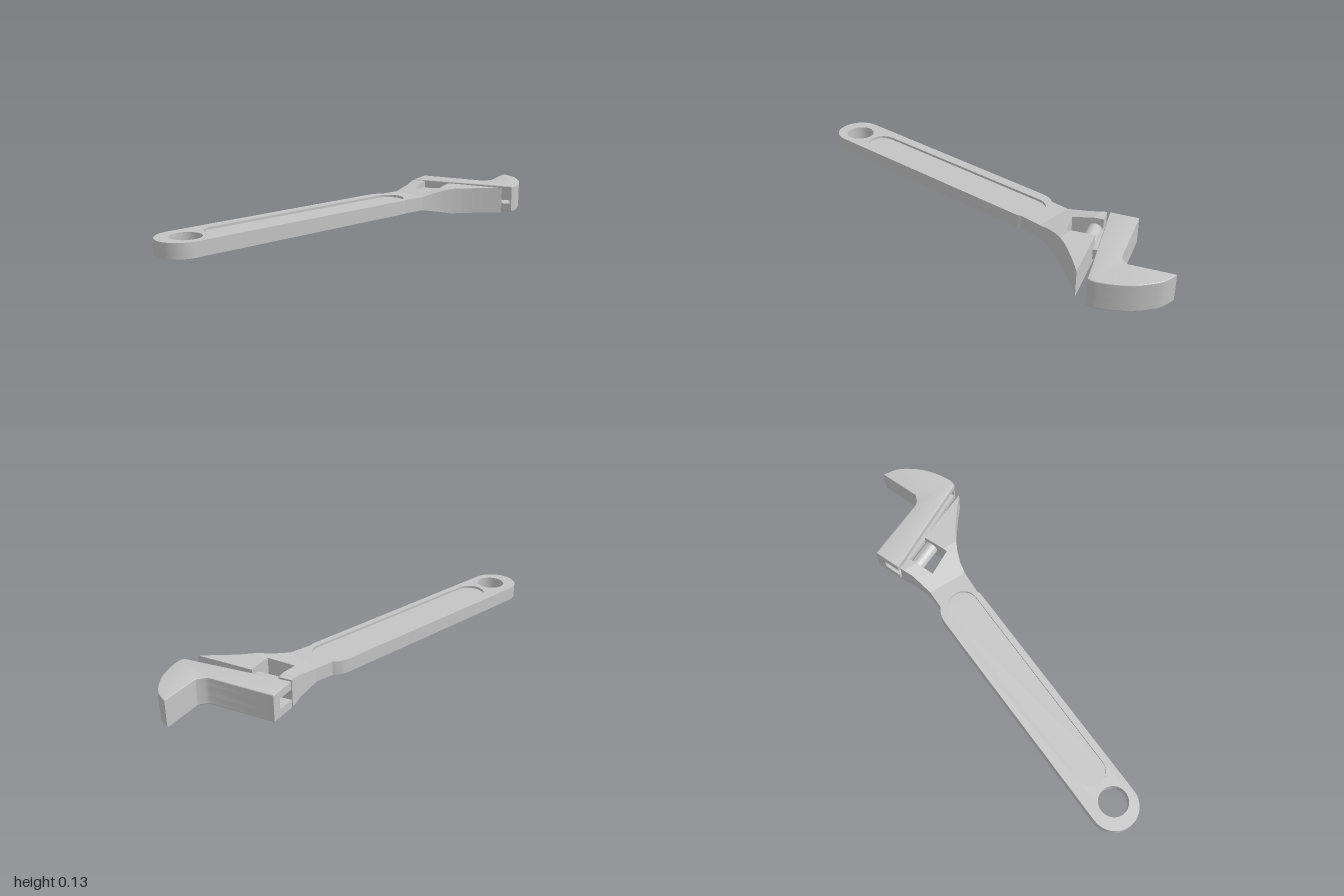
import * as THREE from 'three';
import { toCreasedNormals } from 'three/addons/utils/BufferGeometryUtils.js';

const MID = 0.063;            // height of the middle plane
const HANDLE = 0.032;         // half thickness of the handle
const HEAD = 0.0605;          // half thickness of the head
const JAW = 0.063;            // half thickness of the movable jaw

// Plan points are [x, z]; shapes are drawn in (x, -z) and laid flat.
const v = ([x, z]) => new THREE.Vector2(x, -z);
const plan = (pts) => new THREE.Shape(pts.map(v));
const arc = (cx, cz, r, a0, a1, n = 20) =>
  Array.from({ length: n + 1 }, (_, i) => {
    const a = a0 + ((a1 - a0) * i) / n;
    return [cx + r * Math.cos(a), cz + r * Math.sin(a)];
  });
const curve = (pts, n) =>
  new THREE.SplineCurve(pts.map((p) => new THREE.Vector2(...p))).getPoints(n).map((p) => [p.x, p.y]);

function slab(shape, y0, y1) {
  const g = new THREE.ExtrudeGeometry(shape, { depth: y1 - y0, bevelEnabled: false });
  return g.rotateX(-Math.PI / 2).translate(0, y0, 0);
}

// Thin plate with rounded rims, centred on height y
function roundedPlate(shape, y, r) {
  const g = new THREE.ExtrudeGeometry(shape, {
    depth: 0, bevelThickness: r, bevelSize: r, bevelOffset: -r, bevelSegments: 3,
  });
  return g.rotateX(-Math.PI / 2).translate(0, y, 0);
}

export function createModel() {
  const root = new THREE.Group();
  root.name = 'adjustableWrench';
  const steel = new THREE.MeshStandardMaterial({ color: 0xc4c4c4 });
  steel.name = 'steel';
  const add = (name, geometry, parent = root) => {
    const mesh = new THREE.Mesh(toCreasedNormals(geometry, 0.5), steel);
    mesh.name = name;
    parent.add(mesh);
    return mesh;
  };

  // Handle: solid core with a pierced plate on each side forming the recess
  const outline = [
    ...arc(0.036, 0.893, 0.107, -0.07, Math.PI - 0.07, 28),
    ...curve([[-0.148, -0.19], [-0.147, -0.225], [-0.138, -0.252], [-0.127, -0.272]], 8),
    [-0.13, -0.36], [0.056, -0.36],
    ...curve([[0.056, -0.25], [0.063, -0.235], [0.066, -0.2]], 6),
  ];
  const ring = arc(0.043, 0.878, 0.066, 0, Math.PI * 2, 40).slice(0, -1);
  const recess = [
    ...arc(0.032, 0.717, 0.068, -0.07, Math.PI - 0.07),
    ...arc(-0.033, -0.224, 0.07, Math.PI - 0.07, Math.PI * 2 - 0.07),
  ];
  // Holes run the opposite way round to the outline
  const handlePlan = (...holes) => {
    const s = plan(outline);
    s.holes = holes.map((h) => new THREE.Path(h.map(v).reverse()));
    return s;
  };
  const handle = new THREE.Group();
  handle.name = 'handle';
  root.add(handle);
  const floor = HANDLE - 0.011;
  add('handleCore', slab(handlePlan(ring), MID - floor, MID + floor), handle);
  add('handleTopRim', slab(handlePlan(ring, recess), MID + floor, MID + HANDLE), handle);
  add('handleBottomRim', slab(handlePlan(ring, recess), MID - HANDLE, MID - floor), handle);

  // Neck: thickens evenly from the handle to the head around the screw slot
  const neck = slab(plan([
    [0.056, -0.36], [0.064, -0.415], [0.08, -0.465], [0.1, -0.51], [0.028, -0.51], [0.037, -0.49],
    [-0.075, -0.43], [-0.114, -0.51], [-0.184, -0.51], [-0.16, -0.463], [-0.145, -0.41], [-0.13, -0.36],
  ]), -1, 1);
  const p = neck.attributes.position;
  for (let i = 0; i < p.count; i++) {
    const t = (-0.36 - p.getZ(i)) / 0.15;
    p.setY(i, MID + p.getY(i) * THREE.MathUtils.lerp(HANDLE, HEAD, t));
  }
  add('neck', neck);

  // Head: long fixed jaw and short prong on either side of the slot
  add('fixedJaw', slab(plan([
    [0.028, -0.51], [0.1, -0.51],
    ...curve([[0.12, -0.549], [0.147, -0.592], [0.19, -0.652], [0.237, -0.712]], 10),
    [-0.015, -0.603],
  ]), MID - HEAD, MID + HEAD));
  add('shortProng', slab(plan([
    [-0.114, -0.51], [-0.135, -0.553], [-0.191, -0.526], [-0.184, -0.51],
  ]), MID - HEAD, MID + HEAD));

  // Adjusting screw lying in the slot
  const a = new THREE.Vector3(-0.122, MID, -0.519);
  const b = new THREE.Vector3(0.003, MID, -0.575);
  const dir = b.clone().sub(a);
  const screw = add('adjustingScrew', new THREE.CylinderGeometry(0.033, 0.033, dir.length(), 32));
  screw.position.copy(a).add(b).multiplyScalar(0.5);
  screw.quaternion.setFromUnitVectors(new THREE.Vector3(0, 1, 0), dir.normalize());

  // Movable jaw: hooked outline in layers, the middle one cut by a keyway, with softened rims
  const hook = [
    [-0.247, -0.653], [0.034, -0.775], [0.048, -0.79], [0.06, -0.823], [-0.015, -1],
    ...curve([[0.02, -0.997], [0.07, -0.985], [0.145, -0.936], [0.2, -0.876], [0.237, -0.815], [0.246, -0.79]], 20),
    [0.246, -0.772],
  ];
  const jaw = new THREE.Group();
  jaw.name = 'movableJaw';
  root.add(jaw);
  const key = 0.024;
  const rim = 0.005;
  const full = plan([...hook, [-0.198, -0.535]]);
  const cut = plan([...hook, [0.238, -0.768], [0.2, -0.84], [-0.229, -0.612]]);
  add('jawTop', slab(full, MID + key, MID + JAW - rim), jaw);
  add('jawTopRim', roundedPlate(full, MID + JAW - rim, rim), jaw);
  add('jawCore', slab(cut, MID - key, MID + key), jaw);
  add('jawBottom', slab(full, MID - JAW + rim, MID - key), jaw);
  add('jawBottomRim', roundedPlate(full, MID - JAW + rim, rim), jaw);

  // Slider joining the keyway to the screw
  add('slider', slab(plan([
    [-0.13, -0.556], [0.03, -0.628], [0, -0.72], [-0.165, -0.635],
  ]), MID - key, MID + key), jaw);

  return root;
}
